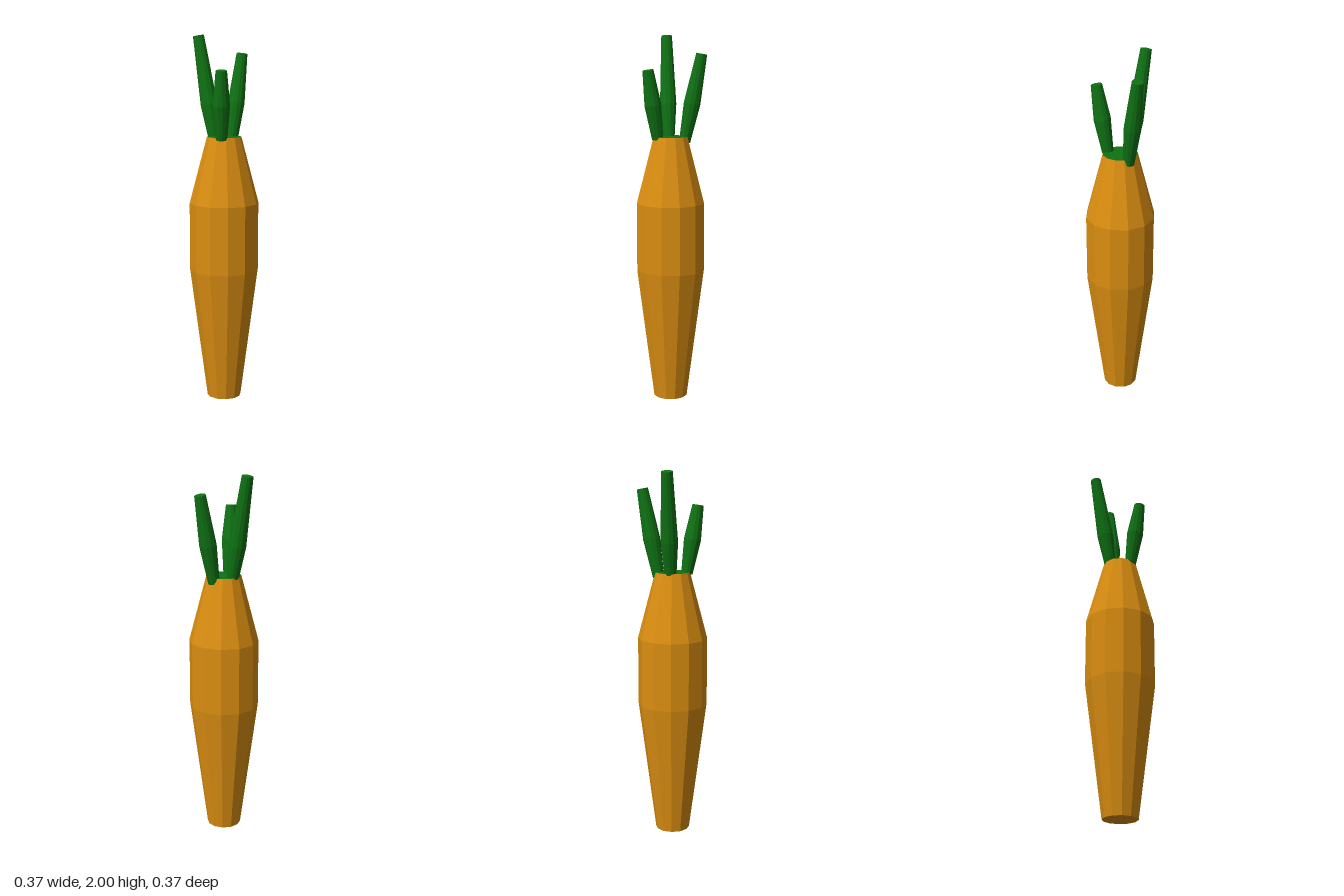
import * as THREE from 'three';

const SIDES = 12;

// Faceted solid of revolution from [radius, height] pairs, bottom to top
function faceted(profile) {
  const points = profile.map(([r, y]) => new THREE.Vector2(r, y));
  const geometry = new THREE.LatheGeometry(points, SIDES, Math.PI / SIDES).toNonIndexed();
  geometry.computeVertexNormals();
  return geometry;
}

export function createModel() {
  const orange = new THREE.MeshStandardMaterial({ color: 0xdb8e11 });
  orange.name = 'carrot orange';
  const green = new THREE.MeshStandardMaterial({ color: 0x0f7214 });
  green.name = 'leaf green';

  const model = new THREE.Group();
  model.name = 'carrot';
  const add = (name, geometry, material) => {
    const mesh = new THREE.Mesh(geometry, material);
    mesh.name = name;
    model.add(mesh);
    return mesh;
  };

  // Root with a closed flat bottom, and a green disc closing its top
  add('root', faceted([[0, 0], [0.094, 0], [0.189, 0.73], [0.189, 1.1], [0.094, 1.46]]), orange);
  add('crown', faceted([[0.094, 1.46], [0, 1.46]]), green);

  // Three leaning stalks: base centre, tip centre, position of the bulge along the stalk
  const stalks = [
    ['backRightStalk', [-0.037, 1.44, -0.048], [-0.098, 1.995, -0.128], 0.34],
    ['backLeftStalk', [0.062, 1.43, -0.045], [0.14, 1.9, -0.09], 0.44],
    ['frontStalk', [-0.041, 1.45, 0.067], [-0.065, 1.815, 0.125], 0.5],
  ];
  for (const [name, from, to, bulge] of stalks) {
    const base = new THREE.Vector3(...from);
    const axis = new THREE.Vector3(...to).sub(base);
    const h = axis.length();
    const profile = [[0, 0], [0.031, 0], [0.046, h * bulge], [0.03, h], [0, h]];
    const stalk = add(name, faceted(profile), green);
    stalk.position.copy(base);
    stalk.quaternion.setFromUnitVectors(new THREE.Vector3(0, 1, 0), axis.normalize());
  }
  return model;
}
